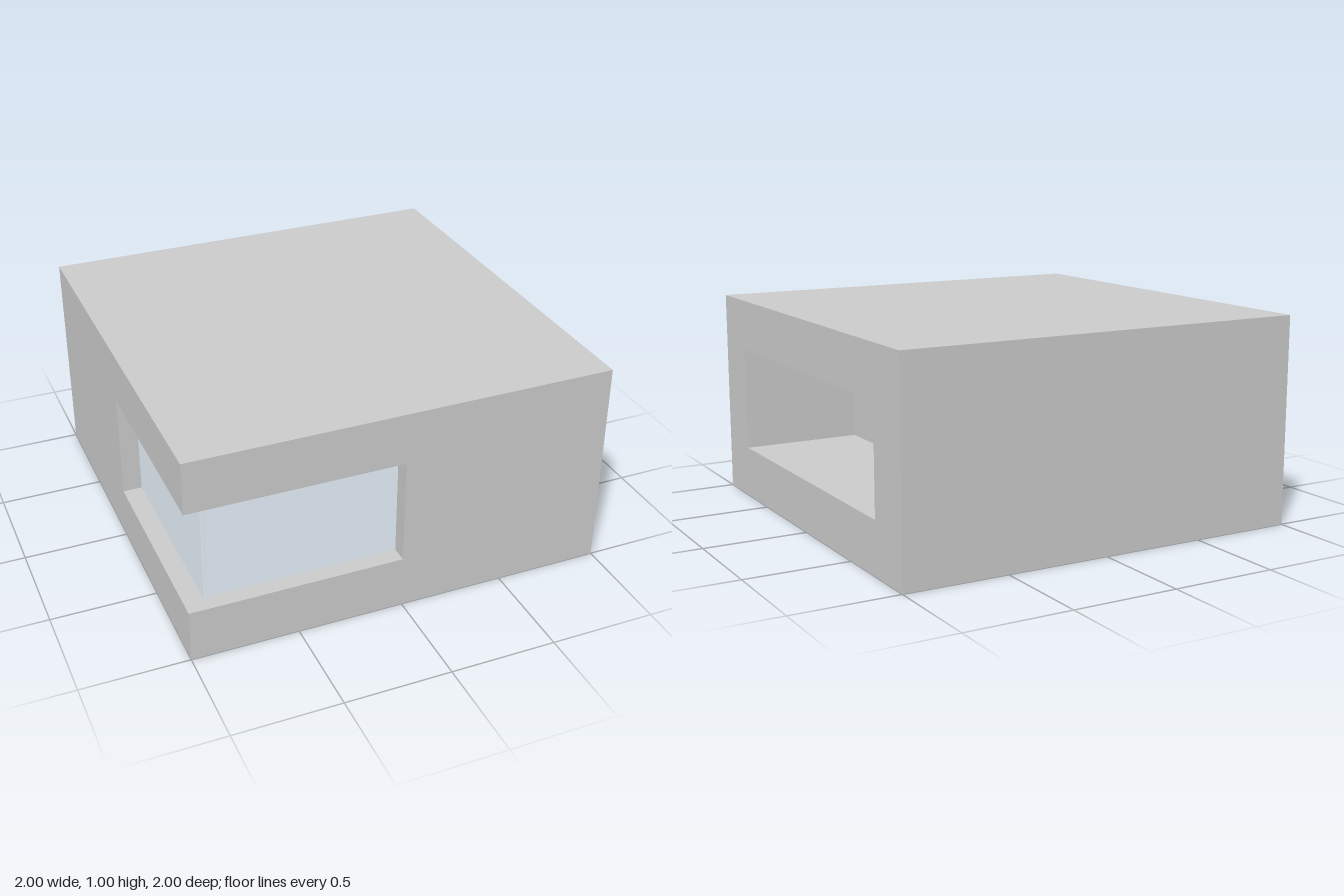
import * as THREE from 'three';

const SILL = 0.25;   // top of the lower slab
const HEAD = 0.755;  // underside of the upper slab
const TOP = 1;

const concrete = new THREE.MeshStandardMaterial({ color: 0xcccccc, flatShading: true });
const glass = new THREE.MeshStandardMaterial({ color: 0xe7f2fc, flatShading: true });

// Box given by its lower and upper corners
function block(name, material, [x0, y0, z0], [x1, y1, z1]) {
  const mesh = new THREE.Mesh(new THREE.BoxGeometry(x1 - x0, y1 - y0, z1 - z0), material);
  mesh.position.set((x0 + x1) / 2, (y0 + y1) / 2, (z0 + z1) / 2);
  mesh.name = name;
  return mesh;
}

// Extrudes a floor plan of [x, z] points upward from y0 to y1
function storey(name, plan, y0, y1) {
  const shape = new THREE.Shape(plan.map(([x, z]) => new THREE.Vector2(x, -z)));
  const geometry = new THREE.ExtrudeGeometry(shape, { depth: y1 - y0, bevelEnabled: false });
  geometry.rotateX(-Math.PI / 2).translate(0, y0, 0);
  const mesh = new THREE.Mesh(geometry, concrete);
  mesh.name = name;
  return mesh;
}

export function createModel() {
  const model = new THREE.Group();
  model.name = 'pavilion';

  // Floor and roof slabs
  model.add(block('floorSlab', concrete, [-1, 0, -1], [1, SILL, 1]));
  model.add(block('roofSlab', concrete, [-1, HEAD, -1], [1, TOP, 1]));

  // Walls between the slabs: front corner notch and a recess open to +x
  model.add(storey('walls', [
    [1, 1], [0, 1], [0, 0], [-1, 0], [-1, -1], [1, -1],
    [1, -0.75], [0.41, -0.75], [0.41, 0.75], [1, 0.75],
  ], SILL, HEAD));

  // Two glass panes meeting near the open corner
  const panes = new THREE.Group();
  panes.name = 'cornerWindow';
  panes.add(block('frontPane', glass, [-0.89, SILL, 0.91], [0, HEAD, 0.92]));
  panes.add(block('sidePane', glass, [-0.91, SILL, 0], [-0.9, HEAD, 0.93]));
  model.add(panes);

  return model;
}
